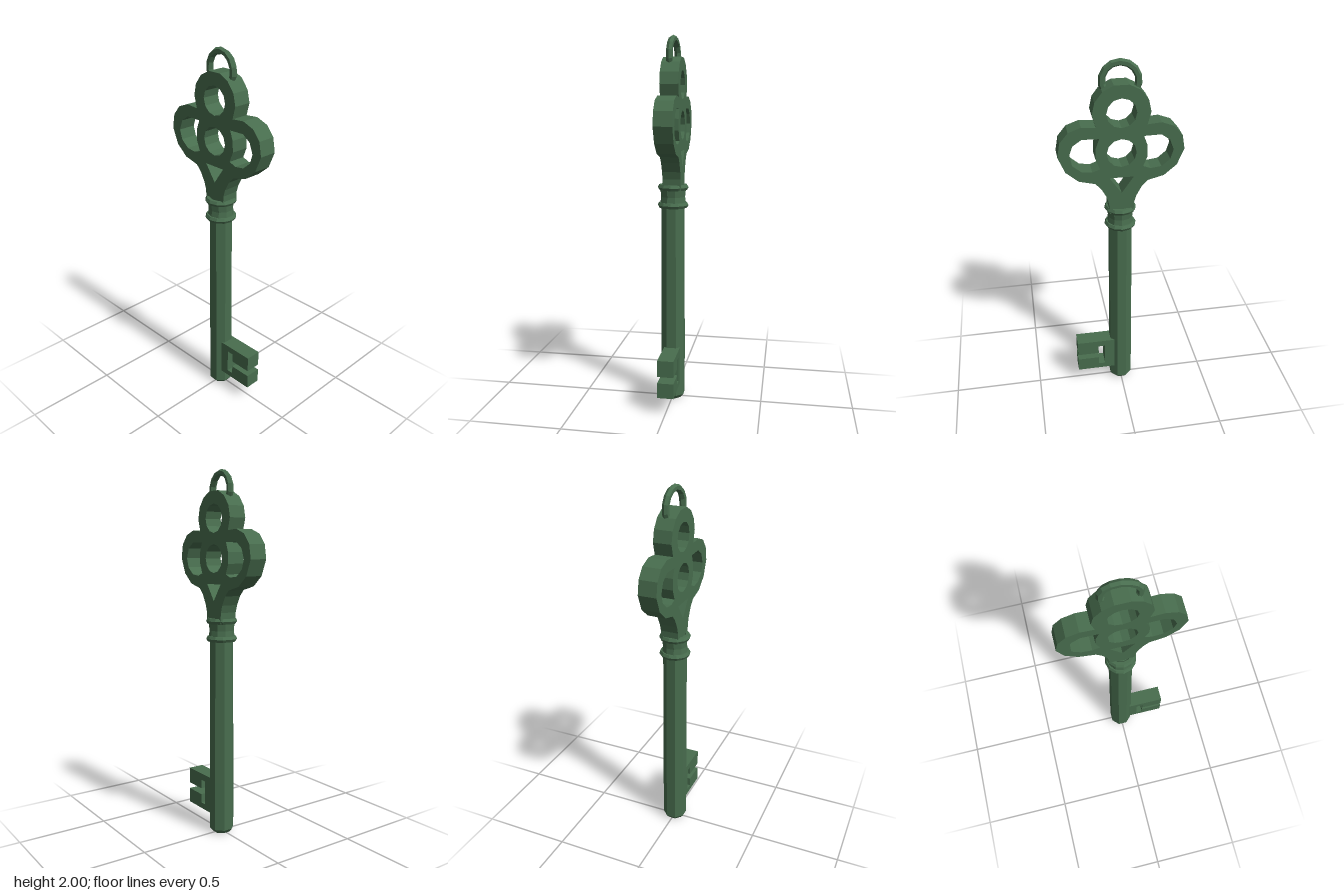
import * as THREE from 'three';

const V = (x, y) => new THREE.Vector2(x, y);

// Points on a circle, from angle a to b in degrees
function arc(cx, cy, r, a, b, n) {
  const pts = [];
  for (let i = 0; i <= n; i++) {
    const t = THREE.MathUtils.degToRad(a + ((b - a) * i) / n);
    pts.push(V(cx + r * Math.cos(t), cy + r * Math.sin(t)));
  }
  return pts;
}
const mirror = (pts) => pts.map((p) => V(-p.x, p.y)).reverse();

function plate(outline, holes, depth) {
  const shape = new THREE.Shape(outline);
  shape.holes = holes.map((h) => new THREE.Path(h));
  const geo = new THREE.ExtrudeGeometry(shape, { depth, bevelEnabled: false });
  return geo.translate(0, 0, -depth / 2 - 0.003);
}

export function createModel() {
  const group = new THREE.Group();
  const green = new THREE.MeshStandardMaterial({ color: 0x486d4e, flatShading: true });
  green.name = 'dark green';
  const add = (name, geo) => {
    const mesh = new THREE.Mesh(geo, green);
    mesh.name = name;
    group.add(mesh);
    return mesh;
  };

  // Trefoil bow: right half of the outline, bottom to top, then mirrored
  const half = [
    V(0.063, 1.19), V(0.066, 1.25), V(0.078, 1.29), V(0.105, 1.34), V(0.135, 1.373),
    V(0.22, 1.395), V(0.285, 1.45), V(0.321, 1.535), V(0.308, 1.61), V(0.265, 1.662),
    V(0.2, 1.686), V(0.128, 1.68),
    ...arc(0, 1.745, 0.146, 0, 75, 3),
  ];
  const sideHole = [
    V(0.265, 1.535), V(0.245, 1.59), V(0.2, 1.622), V(0.112, 1.62), V(0.13, 1.57),
    V(0.132, 1.51), V(0.11, 1.455), V(0.15, 1.44), V(0.205, 1.447), V(0.25, 1.485),
  ];
  add('bow', plate([...half, ...mirror(half)], [
    sideHole,
    mirror(sideHole),
    arc(0, 1.745, 0.076, 0, 330, 11),
    arc(0, 1.535, 0.076, 0, 330, 11),
    [V(-0.063, 1.4), V(0, 1.31), V(0.063, 1.4)],
  ], 0.098));

  // Hanging loop, its ends sunk into the top of the bow
  const loopArc = THREE.MathUtils.degToRad(250);
  const loopGeo = new THREE.TorusGeometry(0.09, 0.018, 6, 10, loopArc);
  loopGeo.rotateZ(THREE.MathUtils.degToRad(-35));
  const loop = add('hangingLoop', loopGeo);
  loop.position.set(0, 1.892, -0.003);
  loop.rotation.y = -0.08;

  // Eight-sided shaft with a chamfered foot
  add('shaft', new THREE.LatheGeometry(
    [V(0, 0), V(0.05, 0), V(0.068, 0.022), V(0.068, 0.3), V(0.064, 1.1), V(0, 1.1)], 8,
  ).rotateY(Math.PI / 8));

  // Collar: waisted neck between two rings
  add('neck', new THREE.LatheGeometry(
    [V(0, 1.08), V(0.074, 1.09), V(0.066, 1.15), V(0.072, 1.205), V(0, 1.21)], 10,
  ));
  for (const [name, y] of [['lowerCollarRing', 1.105], ['upperCollarRing', 1.202]]) {
    const ring = add(name, new THREE.TorusGeometry(0.068, 0.017, 6, 12).rotateX(Math.PI / 2));
    ring.position.y = y;
  }

  // Bit with its T-shaped cut
  add('bit', plate([
    V(0.04, 0.097), V(0.262, 0.097), V(0.262, 0.18), V(0.138, 0.18), V(0.138, 0.13),
    V(0.1, 0.13), V(0.1, 0.268), V(0.138, 0.268), V(0.138, 0.216), V(0.262, 0.216),
    V(0.262, 0.306), V(0.04, 0.306),
  ], [], 0.088));

  return group;
}
